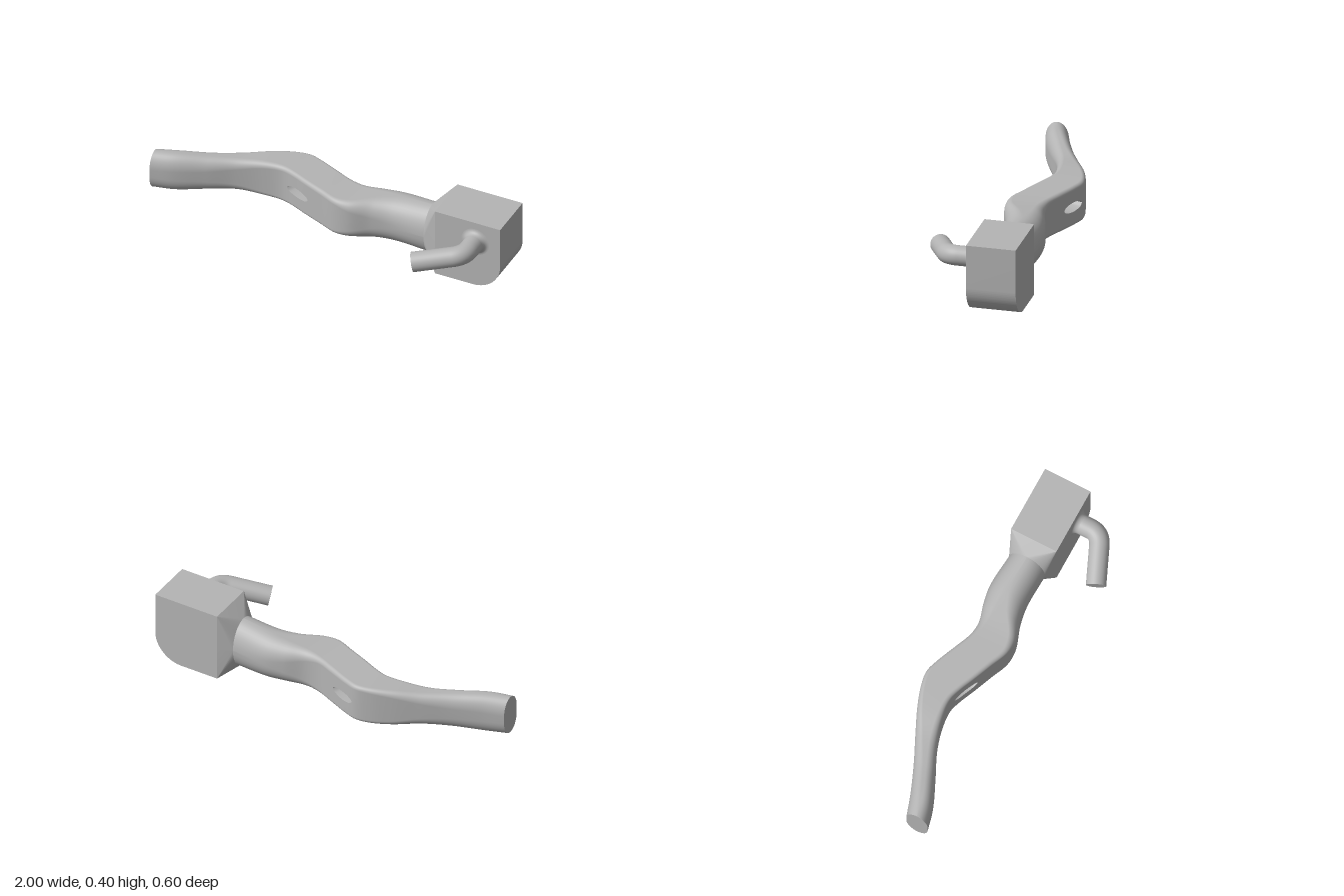
import * as THREE from 'three';
import { mergeGeometries, mergeVertices, toCreasedNormals } from 'three/addons/utils/BufferGeometryUtils.js';

// Body stations: x, back z, front z, bottom y, top y, corner radius in y, corner radius in z
const STATIONS = [
  [-1.0, -0.02, 0.107, 0.08, 0.305, 0.09, 0.063],
  [-0.88, -0.06, 0.075, 0.08, 0.305, 0.085, 0.06],
  [-0.72, -0.125, 0.005, 0.092, 0.295, 0.07, 0.055],
  [-0.58, -0.19, -0.06, 0.098, 0.292, 0.05, 0.045],
  [-0.44, -0.252, -0.102, 0.085, 0.3, 0.032, 0.032],
  [-0.33, -0.288, -0.112, 0.08, 0.302, 0.024, 0.024],
  [-0.25, -0.298, -0.088, 0.08, 0.302, 0.022, 0.022],
  [-0.18, -0.278, -0.058, 0.08, 0.302, 0.022, 0.022],
  [-0.06, -0.23, -0.01, 0.08, 0.302, 0.024, 0.024],
  [0.04, -0.192, 0.03, 0.08, 0.302, 0.028, 0.028],
  [0.12, -0.188, 0.034, 0.078, 0.304, 0.05, 0.045],
  [0.24, -0.222, -0.003, 0.07, 0.313, 0.09, 0.08],
  [0.34, -0.24, -0.02, 0.06, 0.322, 0.115, 0.1],
  [0.54, -0.23, -0.016, 0.048, 0.337, 0.144, 0.107],
];
const MID = 0.19;
const spline = new THREE.CubicInterpolant(
  STATIONS.map((s) => s[0]), STATIONS.flatMap((s) => s.slice(1)), 6, new Float64Array(6));
const station = (x) => Array.from(spline.evaluate(x));

// Half-height of the eye-shaped hole, centred on cx
const slot = (x, cx) => 0.026 * Math.sqrt(Math.max(0, 1 - ((x - cx) / 0.075) ** 2));
const FRONT_HOLE = -0.225, HOLE_SHIFT = 0.07;

// Half of a rounded section: up = 1 runs front to back over the top, -1 back to front underneath
function halfSection(x, [zb, zf, yb, yt, ry, rz], up, hf = 0, hb = 0) {
  const y = up > 0 ? yt : yb;
  rz = Math.min(rz, (zf - zb) / 2);
  ry = Math.min(ry, Math.abs(y - MID));
  const pts = [new THREE.Vector3(x, MID + up * hf, zf)];
  for (let side = 0; side < 2; side++) {
    for (let k = 0; k <= 10; k++) {
      const a = (side + k / 10) * Math.PI / 2;
      const cz = side ? zb + rz : zf - rz;
      pts.push(new THREE.Vector3(x, y - up * ry + up * ry * Math.sin(a), cz + rz * Math.cos(a)));
    }
  }
  pts.push(new THREE.Vector3(x, MID + up * hb, zb));
  return up > 0 ? pts : pts.reverse();
}

// Surface through equal rows of points
function loft(rows) {
  const n = rows[0].length, index = [];
  for (let i = 0; i < rows.length - 1; i++) {
    for (let j = 0; j < n - 1; j++) {
      const a = i * n + j, b = a + n;
      index.push(a, b, b + 1, a, b + 1, a + 1);
    }
  }
  const g = new THREE.BufferGeometry().setFromPoints(rows.flat());
  g.setIndex(index);
  return g;
}

export function createModel() {
  const group = new THREE.Group();
  const grey = new THREE.MeshStandardMaterial({ color: 0xb4b4b4 });
  grey.name = 'grey';
  const add = (name, geometry) => {
    const mesh = new THREE.Mesh(geometry, grey);
    mesh.name = name;
    group.add(mesh);
    return mesh;
  };

  // Winding body, open where the hole passes through
  const xs = Array.from({ length: 155 }, (_, i) => (i - 100) / 100);
  const halves = [1, -1].map((up) => loft(xs.map((x) => halfSection(
    x, station(x), up, slot(x, FRONT_HOLE), slot(x, FRONT_HOLE + HOLE_SHIFT)))));
  const body = mergeVertices(mergeGeometries(halves), 1e-5);
  body.computeVertexNormals();
  add('body', body);

  // Flat end of the body
  const first = station(-1);
  const outline = [...halfSection(-1, first, 1), ...halfSection(-1, first, -1).slice(1, -1)];
  const cap = new THREE.ShapeGeometry(new THREE.Shape(outline.map((p) => new THREE.Vector2(p.z, p.y))));
  cap.rotateY(-Math.PI / 2).translate(-1, 0, 0);
  add('bodyEnd', cap);

  // Walls of the slanted hole
  const walls = [1, -1].map((up) => {
    const rows = [];
    for (let i = 0; i <= 15; i++) {
      const x = -0.3 + i / 100, y = MID + up * slot(x, FRONT_HOLE);
      const row = [
        new THREE.Vector3(x, y, station(x)[1]),
        new THREE.Vector3(x + HOLE_SHIFT, y, station(x + HOLE_SHIFT)[0]),
      ];
      rows.push(up > 0 ? row.reverse() : row);
    }
    return loft(rows);
  });
  const hole = mergeGeometries(walls);
  hole.computeVertexNormals();
  add('holeWall', hole);

  // Flared collar from the round neck to the square block
  const neck = station(0.54), square = [-0.26, 0.01, 0, 0.4, 0, 0];
  const collar = mergeGeometries([1, -1].map((up) => loft([
    halfSection(0.54, neck, up), halfSection(0.62, square, up)])));
  add('collar', toCreasedNormals(collar, 0.3));

  // Block with one rounded lower corner
  const profile = new THREE.Shape();
  profile.moveTo(0.62, 0);
  profile.lineTo(0.84, 0);
  profile.absarc(0.84, 0.16, 0.16, -Math.PI / 2, 0, false);
  profile.lineTo(1, 0.4);
  profile.lineTo(0.62, 0.4);
  profile.closePath();
  const block = new THREE.ExtrudeGeometry(profile, { depth: 0.27, bevelEnabled: false, curveSegments: 24 });
  block.translate(0, 0, -0.26);
  add('block', toCreasedNormals(block, 0.4));

  // Bent round handle
  const start = new THREE.Vector3(0.855, 0.279, 0);
  const corner = new THREE.Vector3(0.855, 0.279, 0.145);
  const end = new THREE.Vector3(0.605, 0.227, 0.253);
  const dir = end.clone().sub(corner).normalize();
  const bendIn = corner.clone().setZ(0.085);
  const bendOut = corner.clone().addScaledVector(dir, 0.06);
  const path = new THREE.CurvePath();
  path.add(new THREE.LineCurve3(start, bendIn));
  path.add(new THREE.QuadraticBezierCurve3(bendIn, corner, bendOut));
  path.add(new THREE.LineCurve3(bendOut, end));
  add('handle', new THREE.TubeGeometry(path, 60, 0.054, 32));
  const tip = add('handleTip', new THREE.CircleGeometry(0.054, 32));
  tip.position.copy(end);
  tip.quaternion.setFromUnitVectors(new THREE.Vector3(0, 0, 1), dir);

  // Fillet where the handle meets the block
  const fillet = [];
  for (let k = 0; k <= 8; k++) {
    const a = k / 8 * Math.PI / 2;
    fillet.push(new THREE.Vector2(0.081 - 0.027 * Math.sin(a), 0.037 - 0.027 * Math.cos(a)));
  }
  const root = new THREE.LatheGeometry(fillet, 32);
  root.rotateX(Math.PI / 2).translate(0.855, 0.279, 0);
  add('handleFillet', root);

  return group;
}
